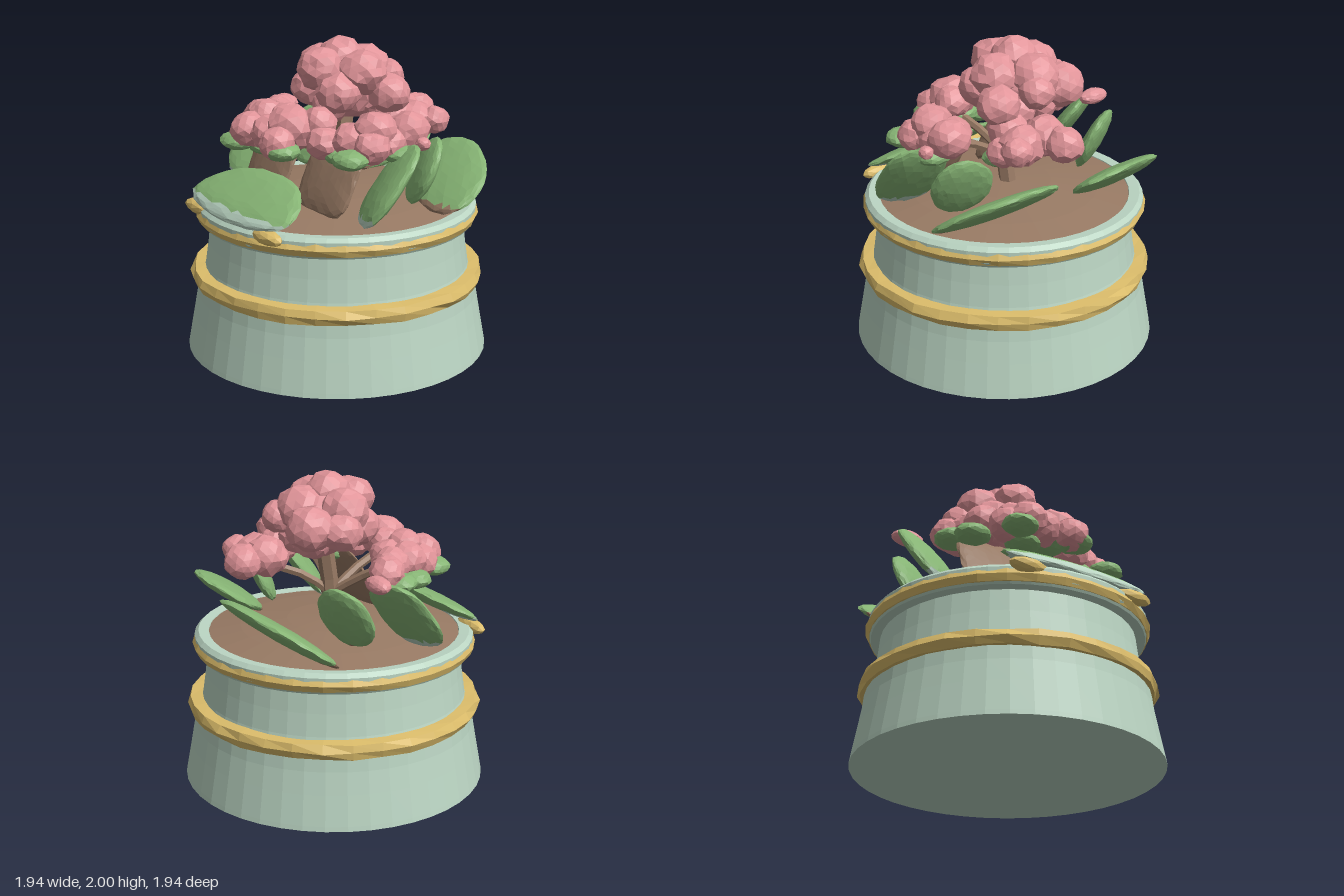
import * as THREE from 'three';

const mat = (name, color, extra = {}) => {
  const m = new THREE.MeshStandardMaterial({ color, flatShading: true, ...extra });
  m.name = name;
  return m;
};

// repeatable noise in -1..1 from a position, so shared corners stay joined
const noise = (x, y, z) => {
  const s = Math.sin(Math.round(x * 500) * 12.99 + Math.round(y * 500) * 78.23 + Math.round(z * 500) * 37.72) * 43758.55;
  return (s - Math.floor(s)) * 2 - 1;
};

export function createModel() {
  const glaze = mat('celadon glaze', 0xbbd5c3);
  const gold = mat('gold trim', 0xdcbd6b);
  const brown = mat('brown earth', 0x987a64, { side: THREE.DoubleSide });
  const green = mat('leaf green', 0x87b575);
  const pink = mat('blossom pink', 0xe2959a);

  const root = new THREE.Group();
  const add = (name, geo, material, parent = root) => {
    const mesh = new THREE.Mesh(geo, material);
    mesh.name = name;
    parent.add(mesh);
    return mesh;
  };
  const group = (name) => {
    const g = new THREE.Group();
    g.name = name;
    root.add(g);
    return g;
  };
  const lathe = (pts, segments) =>
    new THREE.LatheGeometry(pts.map(([x, y]) => new THREE.Vector2(x, y)), segments);

  // pot: flared base, waist, rim and hollow lip
  add('pot', lathe([
    [0, 0], [0.97, 0], [0.965, 0.03], [0.93, 0.22], [0.905, 0.36], [0.895, 0.45], [0.86, 0.5],
    [0.845, 0.56], [0.825, 0.7], [0.81, 0.84], [0.87, 0.845], [0.89, 0.88], [0.89, 0.95],
    [0.865, 0.975], [0.8, 0.97], [0.78, 0.9]], 44), glaze);

  // gold bands, slightly uneven like hand-shaped trim
  const band = (name, r, y, h, out, wobble) => {
    const geo = lathe([[r, y], [out - 0.02, y + 0.005], [out, y + h * 0.5],
      [out - 0.02, y + h - 0.005], [r, y + h]], 32);
    const p = geo.attributes.position;
    for (let i = 0; i < p.count; i++) {
      const x = p.getX(i), z = p.getZ(i), yy = p.getY(i);
      const k = 1 + wobble * noise(x, yy, z);
      p.setXYZ(i, x * k, yy + wobble * 0.4 * noise(z, x, yy), z * k);
    }
    add(name, geo, gold);
  };
  band('lowerBand', 0.835, 0.44, 0.105, 0.94, 0.01);
  band('upperBand', 0.85, 0.855, 0.095, 0.905, 0.004);

  // soil
  add('soil', lathe([[0.8, 0.965], [0.6, 1.0], [0.3, 1.035], [0, 1.05]], 28), brown);

  // irregular faceted ball
  const lump = (x, y, z, sx, sy, sz, detail = 2, rough = 0.05) => {
    const geo = new THREE.IcosahedronGeometry(1, detail);
    const p = geo.attributes.position;
    for (let i = 0; i < p.count; i++) {
      const a = p.getX(i), b = p.getY(i), c = p.getZ(i);
      const k = 1 + rough * noise(a + x, b + y, c + z);
      p.setXYZ(i, x + a * k * sx, y + b * k * sy, z + c * k * sz);
    }
    geo.computeVertexNormals();
    return geo;
  };

  for (const s of [-1, 1]) add('rimOrnament', lump(s * 0.38, 0.955, 0.8, 0.14, 0.048, 0.055, 1), gold);

  // flat leaf in a plane: square > 2 gives a boxier outline, foot < 1 shortens its lower half;
  // faces below the cut take the base material
  const leaf = (name, centre, normal, along, [len, wid, thick], parent, top, base = top,
    { square = 2, foot = 1, cut = 1.04 } = {}) => {
    const n = new THREE.Vector3(...normal).normalize();
    const a = new THREE.Vector3(...along);
    a.addScaledVector(n, -a.dot(n)).normalize();
    const b = new THREE.Vector3().crossVectors(n, a);
    const geo = lump(0, 0, 0, 1, 1, 1, 4, 0.025);
    const p = geo.attributes.position;
    for (let i = 0; i < p.count; i++) {
      const x = p.getX(i), y = p.getY(i), r = Math.hypot(x, y) || 1;
      const k = 1 / (Math.abs(x / r) ** square + Math.abs(y / r) ** square) ** (1 / square);
      p.setXYZ(i, x * k * len, y * k * wid * (y < 0 ? foot : 1), p.getZ(i) * thick);
    }
    geo.applyMatrix4(new THREE.Matrix4().makeBasis(a, b, n).setPosition(...centre));
    const parts = [[], []];
    for (let i = 0; i < p.count; i += 3) {
      const low = (p.getY(i) + p.getY(i + 1) + p.getY(i + 2)) / 3 < cut;
      for (let j = i; j < i + 3; j++) parts[low ? 1 : 0].push(p.getX(j), p.getY(j), p.getZ(j));
    }
    parts.forEach((list, i) => {
      if (!list.length) return;
      const g = new THREE.BufferGeometry();
      g.setAttribute('position', new THREE.Float32BufferAttribute(list, 3));
      g.computeVertexNormals();
      add(i ? name + 'Base' : name, g, i ? base : top, parent);
    });
  };

  // large leaves
  const leaves = group('leaves');
  leaf('frontLeaf', [0, 1.05, 0.735], [0, 0.87, 0.48], [1, 0, 0], [0.51, 0.31, 0.05], leaves, green, glaze, { foot: 0.5, cut: 1.045 });
  leaf('backRightLeaf', [-0.39, 1.145, -0.6], [0.02, 0.81, 0.58], [0.85, 0.25, -0.32], [0.45, 0.25, 0.05], leaves, green, brown);
  leaf('backLeftLeaf', [0.52, 1.15, -0.49], [-0.05, 0.83, 0.55], [0.64, -0.2, 0.4], [0.4, 0.25, 0.05], leaves, green, brown);
  for (const s of [-1, 1]) {
    leaf('sideLeaf', [s * 0.67, 1.215, 0.12], [-s * 0.35, 0.6, 0.72], [s * 0.1, 0.75, -0.6], [0.29, 0.2, 0.055],
      leaves, green, glaze, { square: 2.6 });
    leaf('smallSideLeaf', [s * 0.57, 1.23, -0.24], [-s * 0.4, 0.42, 0.8], [s * 0.1, 0.85, -0.4], [0.22, 0.19, 0.055], leaves, green, brown);
  }

  // broad brown stem sheets in front of the trunk
  const wood = group('woodyStems');
  for (const s of [-1, 1])
    leaf('stemSheet', [s * 0.3, 1.2, 0.285], [s * 0.05, 0.42, 0.9], [1, 0, 0], [0.235, 0.225, 0.04],
      wood, brown, brown, { square: 4 });

  // trunk and branches
  const branch = (name, pts, r) => add(name, new THREE.TubeGeometry(
    new THREE.CatmullRomCurve3(pts.map((p) => new THREE.Vector3(...p))), 4, r, 6), brown, wood);
  branch('trunk', [[0, 1, -0.04], [0.01, 1.2, -0.02], [0, 1.6, -0.08]], 0.055);
  [[-0.35, 1.45, 0.25], [0.5, 1.42, 0.05], [0.08, 1.42, 0.42], [0.15, 1.42, -0.42]].forEach((end) =>
    branch('branch', [[0, 1.2, -0.02], [end[0] * 0.4, 1.32, end[2] * 0.4], end], 0.028));

  // blossoms: x, y, z, radius
  const clusters = {
    crownBlossoms: [
      [-0.03, 1.86, -0.06, 0.145], [-0.02, 1.81, 0.11, 0.15], [-0.2, 1.78, -0.04, 0.155],
      [0.15, 1.79, -0.08, 0.155], [-0.3, 1.68, -0.12, 0.13], [-0.21, 1.7, -0.28, 0.15],
      [-0.02, 1.78, -0.24, 0.16], [0.25, 1.66, -0.22, 0.135], [0.06, 1.73, -0.35, 0.11],
      [-0.02, 1.69, -0.1, 0.23], [0.12, 1.68, 0.08, 0.14], [-0.16, 1.67, 0.07, 0.14],
      [0, 1.58, 0.05, 0.12], [-0.1, 1.6, -0.2, 0.13], [0.1, 1.59, -0.2, 0.13]],
    frontBlossoms: [
      [-0.22, 1.51, 0.38, 0.115], [-0.38, 1.47, 0.3, 0.125], [-0.51, 1.45, 0.08, 0.11],
      [-0.41, 1.46, 0.17, 0.12], [-0.2, 1.45, 0.53, 0.12], [-0.3, 1.42, 0.44, 0.12],
      [0.08, 1.5, 0.41, 0.15], [0.12, 1.43, 0.54, 0.115], [-0.06, 1.45, 0.47, 0.125],
      [0.19, 1.53, 0.28, 0.11], [0.28, 1.43, 0.31, 0.11], [-0.1, 1.51, 0.32, 0.11], [-0.28, 1.48, 0.22, 0.11]],
    leftBlossoms: [
      [0.51, 1.52, 0.1, 0.13], [0.56, 1.5, -0.12, 0.13], [0.42, 1.45, 0.2, 0.125],
      [0.57, 1.44, 0.17, 0.115], [0.43, 1.46, 0, 0.12], [0.54, 1.44, 0.02, 0.12], [0.72, 1.45, -0.1, 0.045]],
    backBlossoms: [
      [0.07, 1.47, -0.6, 0.12], [0.08, 1.48, -0.44, 0.14], [0.25, 1.46, -0.42, 0.14],
      [0.36, 1.47, -0.5, 0.095], [0.22, 1.5, -0.28, 0.13], [0.33, 1.42, -0.35, 0.1]],
  };
  for (const [name, list] of Object.entries(clusters)) {
    const g = group(name);
    for (const [x, y, z, r] of list) add('blossom', lump(x, y, z, r, r * 0.92, r, 2, 0.07), pink, g);
  }
  add('rightBud', lump(-0.7, 1.45, -0.1, 0.11, 0.05, 0.065), pink);

  // small leaves under the blossoms
  const sepals = group('blossomLeaves');
  [[-0.46, 1.37, 0.3], [-0.28, 1.37, 0.56], [-0.17, 1.34, 0.42], [0.15, 1.385, 0.53], [0.02, 1.39, 0.4],
    [0.55, 1.38, 0.32], [0.36, 1.36, 0.24], [-0.52, 1.38, 0.16], [0.6, 1.38, -0.02], [0.3, 1.37, -0.3]]
    .forEach(([x, y, z]) => add('blossomLeaf', lump(x, y, z, 0.12, 0.06, 0.11, 2), green, sepals));

  return root;
}
